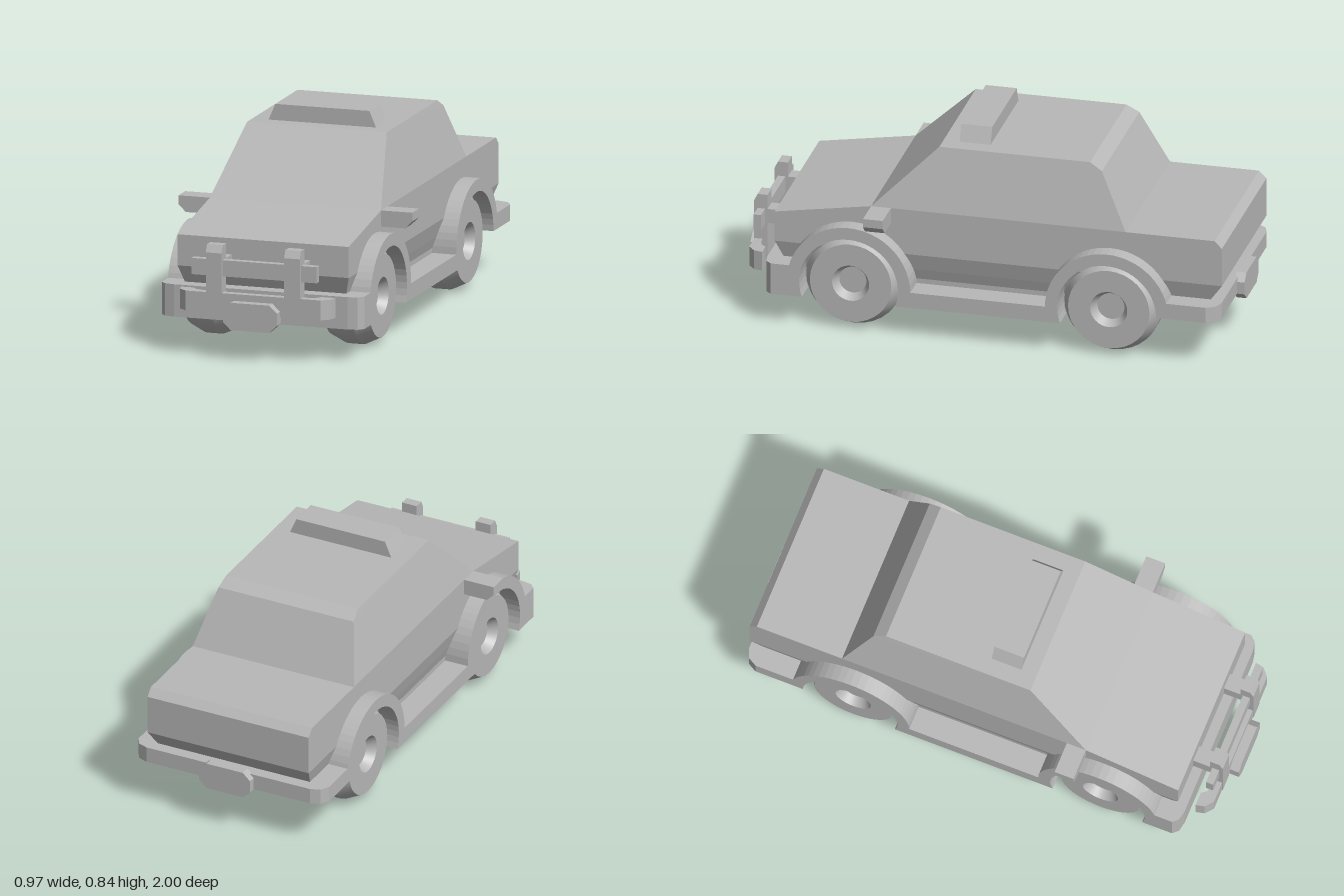
import * as THREE from 'three';
import { toCreasedNormals } from 'three/addons/utils/BufferGeometryUtils.js';
import { ConvexGeometry } from 'three/addons/geometries/ConvexGeometry.js';

const grey = new THREE.MeshStandardMaterial({ color: 0xb8b8b8 });
grey.name = 'grey';

const shapeOf = (pts) => new THREE.Shape(pts.map(([a, b]) => new THREE.Vector2(a, b)));
const extrude = (shape, depth) =>
  new THREE.ExtrudeGeometry(shape, { depth, bevelEnabled: false, curveSegments: 14 });

// outline in (-z, y), extruded from x0 to x1
const alongX = (shape, x0, x1) => extrude(shape, x1 - x0).rotateY(Math.PI / 2).translate(x0, 0, 0);
// outline in (x, z), extruded from y0 to y1
const alongY = (shape, y0, y1) => extrude(shape, y1 - y0).rotateX(Math.PI / 2).translate(0, y1, 0);
// outline in (x, y), extruded from z0 to z1
const alongZ = (shape, z0, z1) => extrude(shape, z1 - z0).translate(0, 0, z0);
const box = (x0, x1, y0, y1, z0, z1) =>
  new THREE.BoxGeometry(x1 - x0, y1 - y0, z1 - z0)
    .translate((x0 + x1) / 2, (y0 + y1) / 2, (z0 + z1) / 2);
// right half of an outline, completed with its mirror image
const symmetric = (half) => shapeOf([...half, ...half.map(([x, b]) => [-x, b]).reverse()]);
// convex solid from (half width, y, z) points mirrored left to right
const hull = (pts) => new ConvexGeometry(
  pts.flatMap(([x, y, z]) => [new THREE.Vector3(x, y, z), new THREE.Vector3(-x, y, z)]));

export function createModel() {
  const car = new THREE.Group();
  car.name = 'car';
  const add = (name, geometry) => {
    const mesh = new THREE.Mesh(geometry, grey);
    mesh.name = name;
    car.add(mesh);
    return mesh;
  };

  // Body with sloping hood and tucked-in lower edge
  add('body', hull([
    [0.355, 0.455, 0.84], [0.355, 0.52, 0.45], [0.355, 0.52, -0.94], [0.355, 0.49, -0.97],
    [0.355, 0.33, -0.97], [0.335, 0.26, -0.92], [0.315, 0.2, -0.875],
    [0.355, 0.33, 0.84], [0.335, 0.26, 0.81], [0.315, 0.2, 0.78],
  ]));
  add('cabin', hull([
    [0.355, 0.515, 0.45], [0.355, 0.52, 0.45], [0.29, 0.775, 0.19], [0.29, 0.775, -0.42],
    [0.298, 0.745, -0.47], [0.355, 0.52, -0.58], [0.355, 0.515, -0.58],
  ]));
  add('floor', box(-0.32, 0.32, 0.13, 0.25, -0.7, 0.76));

  // Roof sign
  add('roofSign', alongZ(symmetric([[0.225, 0.77], [0.195, 0.84]]), 0, 0.125));

  // Bumpers with cut corners
  add('frontBumper', alongY(symmetric(
    [[0.42, 0.735], [0.42, 0.84], [0.4, 0.862], [0.36, 0.87]]), 0.13, 0.26));
  add('rearBumper', alongY(symmetric(
    [[0.36, -0.97], [0.4, -0.955], [0.42, -0.92], [0.42, -0.735]]), 0.195, 0.26));

  // Wheel arches joined by the sill, one strip on each side
  const strip = new THREE.Shape();
  const axleY = 0.195, front = -0.525, rear = 0.52;
  strip.absarc(front, axleY, 0.25, Math.PI + 0.263, 0, true);
  strip.absarc(rear, axleY, 0.25, Math.PI, 0, true);
  strip.absarc(rear, axleY, 0.2, 0, Math.PI + 0.331, false);
  strip.absarc(front, axleY, 0.2, -0.331, Math.PI + 0.331, false);
  add('leftArches', alongX(strip, 0.3, 0.42));
  add('rightArches', alongX(strip, -0.42, -0.3));

  // Wheels with chamfered tyres and recessed hubs
  const wheelProfile = [
    [0, 0.195], [0.165, 0.195], [0.195, 0.26], [0.195, 0.325],
    [0.165, 0.387], [0.075, 0.387], [0.055, 0.35], [0, 0.35],
  ].map(([r, x]) => new THREE.Vector2(r, x));
  const wheel = toCreasedNormals(
    new THREE.LatheGeometry(wheelProfile, 32).rotateZ(-Math.PI / 2), 0.4);
  for (const [end, z] of [['front', 0.525], ['rear', -0.52]]) {
    for (const side of ['Left', 'Right']) {
      const mesh = add(`${end}${side}Wheel`, wheel);
      mesh.position.set(0, axleY, z);
      if (side === 'Right') mesh.rotation.y = Math.PI;
    }
  }

  // Side mirrors
  const mirror = [[0.33, 0.455], [0.455, 0.455], [0.485, 0.485], [0.485, 0.52], [0.33, 0.52]];
  add('leftMirror', alongZ(shapeOf(mirror), 0.37, 0.45));
  add('rightMirror', alongZ(shapeOf(mirror.map(([x, y]) => [-x, y])), 0.37, 0.45));

  // Guard bars ahead of the grille
  const post = shapeOf([
    [-0.965, 0.18], [-0.91, 0.18], [-0.91, 0.45], [-0.95, 0.45], [-0.965, 0.42],
  ]);
  for (const [side, x] of [['left', 0.13], ['right', -0.195]]) {
    add(`${side}GuardPost`, alongX(post, x, x + 0.065));
    add(`${side}GuardMount`, box(x, x + 0.065, 0.33, 0.39, 0.82, 0.93));
  }
  add('upperGuardBar', box(-0.26, 0.26, 0.325, 0.39, 0.92, 0.95));
  add('lowerGuardBar', alongY(symmetric([
    [0.22, 0.93], [0.25, 0.92], [0.265, 0.9], [0.32, 0.9], [0.312, 0.935], [0.28, 0.962],
  ]), 0.18, 0.26));

  // Blank eight-sided plates
  const plate = symmetric([[0.08, -0.055], [0.112, -0.025], [0.112, 0.025], [0.08, 0.055]]);
  add('frontPlate', alongZ(plate, 0.95, 1).translate(0, 0.178, 0));
  add('rearPlate', alongZ(plate, -1, -0.96).translate(0, 0.22, 0));

  return car;
}
